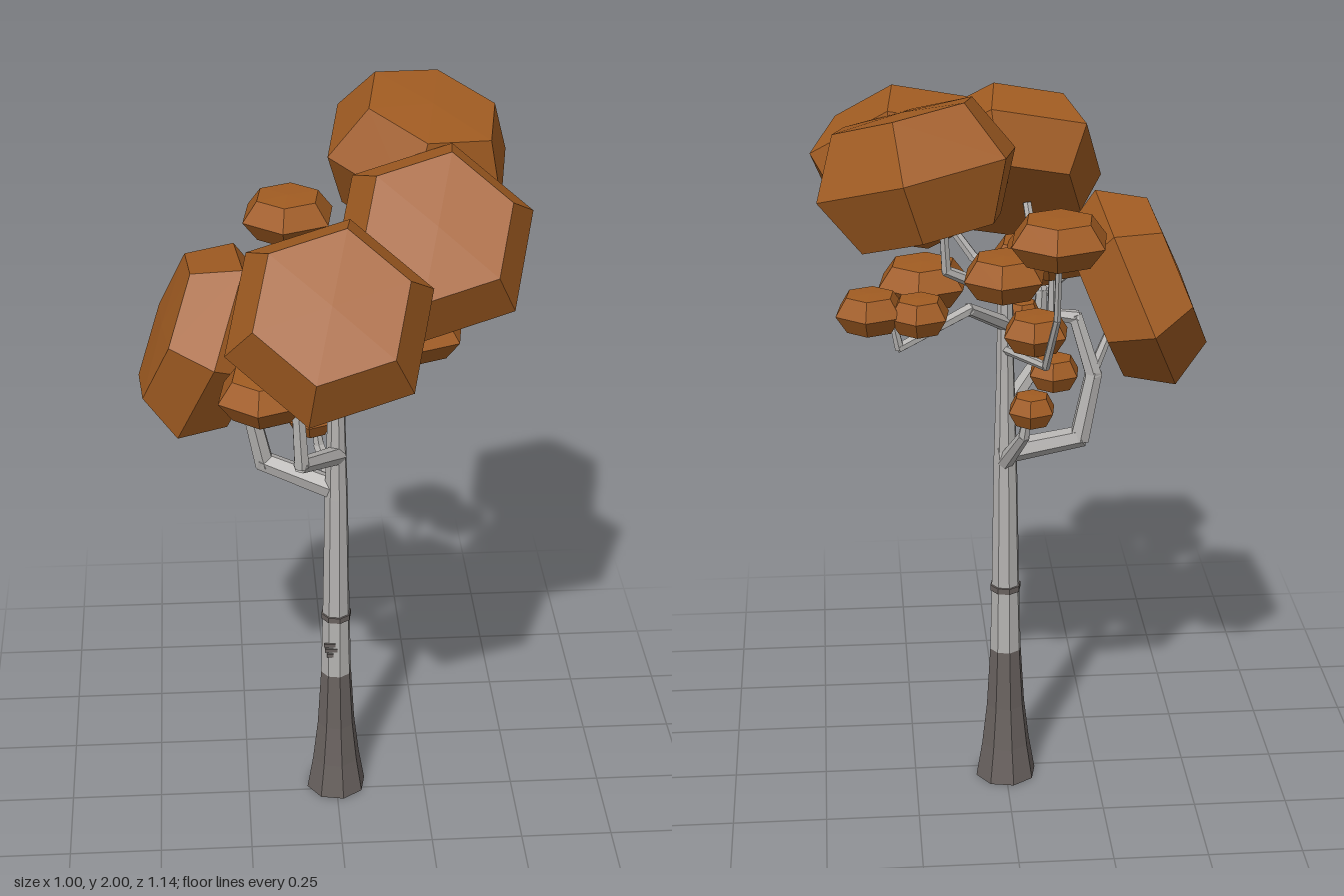
import * as THREE from 'three';

const mat = (name, color) => {
  const m = new THREE.MeshStandardMaterial({ color, flatShading: true });
  m.name = name;
  return m;
};
const V = (p) => new THREE.Vector3(...p);
const UP = new THREE.Vector3(0, 1, 0);

export function createModel() {
  const tree = new THREE.Group();
  tree.name = 'tree';
  const leaf = mat('rust foliage', 0xa15c22);
  const bark = mat('pale bark', 0xb4b2b0);
  const darkBark = mat('dark bark', 0x69625f);

  const add = (name, geo, material, parent = tree) => {
    const m = new THREE.Mesh(geo, material);
    m.name = name;
    parent.add(m);
    return m;
  };

  // Eight-sided trunk section from [radius, y] pairs
  const trunk = (name, profile, material) => {
    const geo = new THREE.LatheGeometry(profile.map(([r, y]) => new THREE.Vector2(r, y)), 8);
    const m = add(name, geo, material);
    m.rotation.y = 0.2;
    m.position.set(0, 0, -0.032);
    return m;
  };
  trunk('trunkBase', [[0, 0], [0.084, 0], [0.067, 0.1], [0.053, 0.22], [0.043, 0.39]], darkBark);
  trunk('trunk', [[0.043, 0.39], [0.038, 0.6], [0.032, 0.95], [0.024, 1.2], [0.02, 1.46], [0, 1.46]], bark);
  trunk('barkRing', [[0.036, 0.565], [0.042, 0.567], [0.042, 0.583], [0.036, 0.585]], darkBark);

  // Small dark scars on the front of the trunk
  for (const [x, y, w] of [[-0.02, 0.495, 0.032], [-0.016, 0.478, 0.034], [-0.018, 0.462, 0.018]]) {
    add('barkScar', new THREE.BoxGeometry(w, 0.01, 0.008), darkBark).position.set(x, y, 0.004);
  }

  // Branch: tapered straight pieces, overlapping at each joint
  const branch = (name, r0, r1, pts) => {
    const g = new THREE.Group();
    g.name = name;
    const n = pts.length - 1;
    for (let i = 0; i < n; i++) {
      const a = V(pts[i]), b = V(pts[i + 1]);
      const d = b.clone().sub(a);
      const ra = r0 + (r1 - r0) * i / n, rb = r0 + (r1 - r0) * (i + 1) / n;
      const m = add(name + 'Piece', new THREE.CylinderGeometry(rb, ra, d.length() + rb * 0.7, 6), bark, g);
      m.position.copy(a).add(b).multiplyScalar(0.5);
      m.quaternion.setFromUnitVectors(UP, d.normalize());
    }
    tree.add(g);
  };
  branch('lowerRightBranch', 0.032, 0.011, [[0, 0.97, -0.035], [-0.19, 1.03, -0.09], [-0.225, 1.2, -0.08], [-0.18, 1.35, -0.06], [-0.12, 1.36, -0.06], [-0.12, 1.5, -0.06]]);
  branch('outerTwig', 0.016, 0.01, [[-0.22, 1.2, -0.08], [-0.29, 1.36, -0.05]]);
  branch('lowBackTwig', 0.022, 0.01, [[0, 0.95, -0.05], [-0.04, 1.05, -0.13], [-0.05, 1.12, -0.14]]);
  branch('frontBranch', 0.026, 0.012, [[0, 1.08, -0.02], [-0.1, 1.15, 0.15], [-0.11, 1.35, 0.15], [-0.08, 1.56, 0.25]]);
  branch('frontTwig', 0.013, 0.01, [[-0.11, 1.34, 0.15], [-0.19, 1.35, 0.29], [-0.19, 1.42, 0.3]]);
  branch('backTwig', 0.013, 0.008, [[0, 1.26, -0.04], [-0.09, 1.27, -0.2], [-0.11, 1.42, -0.28], [-0.11, 1.62, -0.32]]);
  branch('leftBranch', 0.02, 0.009, [[0, 1.33, -0.04], [0.1, 1.41, -0.15], [0.28, 1.35, -0.25], [0.3, 1.45, -0.26]]);
  branch('crownBranch', 0.02, 0.01, [[0, 1.42, -0.035], [0.09, 1.5, -0.2], [0.16, 1.54, -0.23], [0.17, 1.72, -0.25]]);
  branch('middleCrownBranch', 0.018, 0.01, [[0, 1.43, -0.03], [0.08, 1.5, 0], [0.19, 1.65, 0.04]]);

  // Foliage: six-sided faceted pads, facing along a given direction
  const pad = (name, pos, r, h, normal = [0, 1, 0], turn = 52, inner = 0.74) => {
    const profile = [[0, -h * 1.04], [r * inner, -h], [r, 0], [r * inner, h], [0, h * 1.05]];
    const geo = new THREE.LatheGeometry(profile.map(([x, y]) => new THREE.Vector2(x, y)), 6);
    geo.rotateY(THREE.MathUtils.degToRad(turn));
    const m = add(name, geo, leaf);
    m.position.set(...pos);
    m.quaternion.setFromUnitVectors(UP, V(normal).normalize());
  };
  pad('backCrown', [0.23, 1.81, -0.31], 0.265, 0.145, [0.22, 0.95, 0.2], 52, 0.7);
  pad('middleCrown', [0.235, 1.72, 0.06], 0.265, 0.125, [0, 0.66, 0.75], 47);
  pad('frontCrown', [-0.04, 1.65, 0.35], 0.265, 0.125, [0, 0.68, 0.73], 47);
  pad('rightCrown', [-0.335, 1.42, -0.04], 0.27, 0.115, [-0.92, 0.38, 0], 10);

  // Small pads: x, y, z, radius
  const small = [
    [-0.11, 1.64, -0.32, 0.13], [-0.115, 1.53, -0.05, 0.13], [-0.08, 1.45, 0.12, 0.12],
    [-0.2, 1.435, 0.3, 0.12], [0.02, 1.54, -0.28, 0.11], [0.21, 1.44, -0.015, 0.125],
    [0.35, 1.45, -0.26, 0.092], [0.23, 1.445, -0.28, 0.08], [-0.07, 1.34, -0.14, 0.09],
    [-0.12, 1.22, -0.11, 0.07], [-0.06, 1.13, -0.14, 0.065], [-0.05, 1.33, 0.03, 0.05],
  ];
  for (const [x, y, z, r] of small) pad('foliagePad', [x, y, z], r, r * 0.25 + 0.022, [0, 1, 0], 52, 0.68);

  return tree;
}
